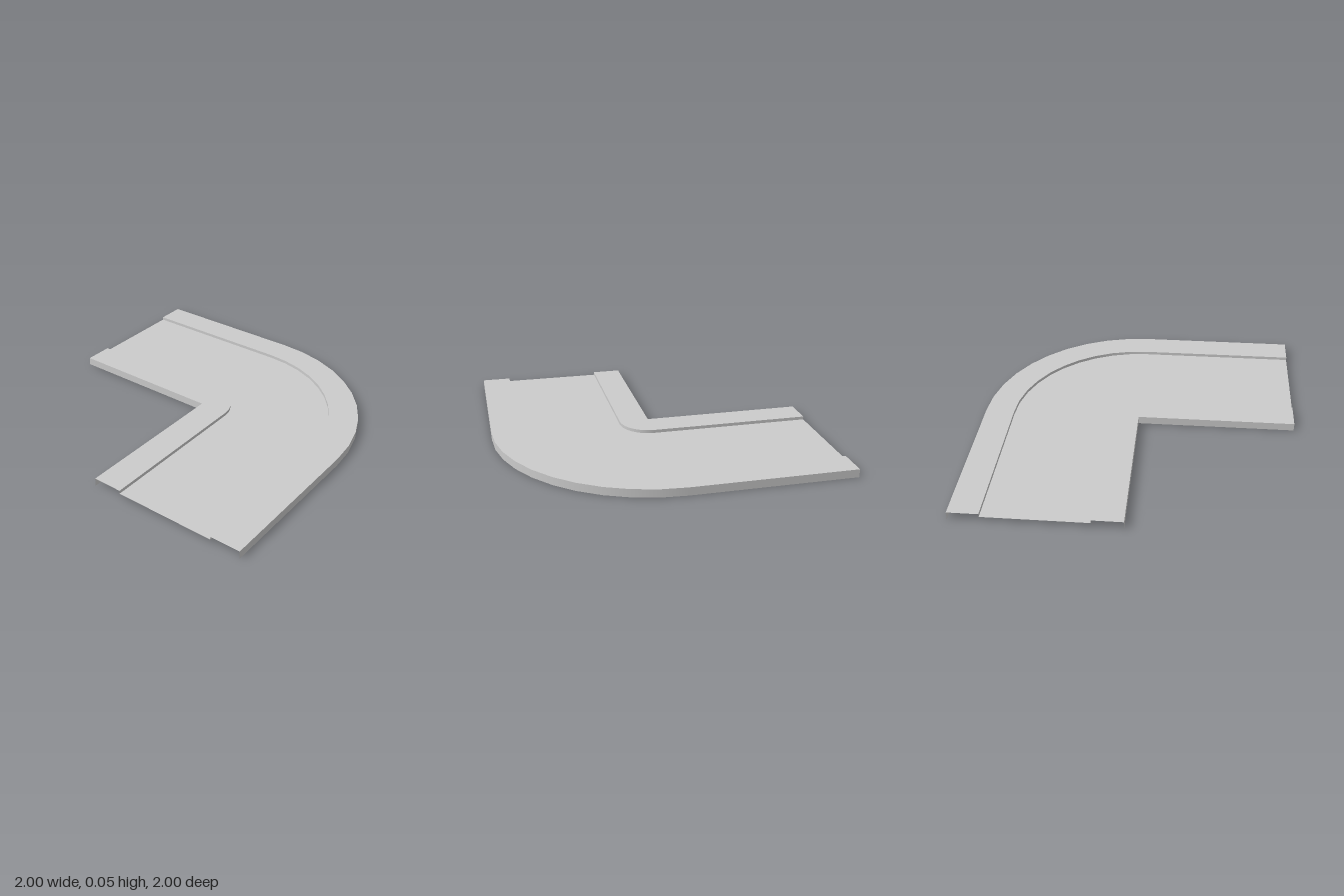
import * as THREE from 'three';

const ARC_STEPS = 10;
const TOP = 0.05, ROAD = 0.03;

// Cross-section of the road from the inner to the outer edge: [radius, height]
const PROFILE = [[0, 0], [0, TOP], [0.185, TOP], [0.185, ROAD], [0.815, ROAD], [0.815, TOP], [1, TOP], [1, 0]];
const NAMES = ['innerSkirt', 'innerSidewalk', 'innerCurb', 'roadSurface', 'outerCurb', 'outerSidewalk', 'outerSkirt'];

// Path stations: straight run, quarter bend about the origin, straight run
function makeStations() {
  const stations = [{ angle: 0, x: -1, z: 0 }];
  for (let i = 0; i <= ARC_STEPS; i++) stations.push({ angle: (i / ARC_STEPS) * Math.PI / 2, x: 0, z: 0 });
  stations.push({ angle: Math.PI / 2, x: 0, z: 1 });
  return stations;
}

// Sweeps one segment of the cross-section along the stations
function sweepStrip(p0, p1, stations) {
  const dr = p1[0] - p0[0], dy = p1[1] - p0[1], len = Math.hypot(dr, dy);
  const positions = [], normals = [], index = [];
  stations.forEach(({ angle, x, z }, i) => {
    const s = Math.sin(angle), c = -Math.cos(angle);
    for (const [r, y] of [p0, p1]) {
      positions.push(x + r * s, y, z + r * c);
      normals.push(-dy / len * s, dr / len, -dy / len * c);
    }
    if (i === stations.length - 1) return;
    const a = 2 * i, b = a + 1, e = a + 2, f = a + 3;
    // The bend has no length at the inner corner, so skip collapsed triangles there
    const bend = i > 0 && i < stations.length - 2;
    if (!(bend && p0[0] === 0)) index.push(a, e, b);
    if (!(bend && p1[0] === 0)) index.push(e, f, b);
  });
  const geometry = new THREE.BufferGeometry();
  geometry.setAttribute('position', new THREE.Float32BufferAttribute(positions, 3));
  geometry.setAttribute('normal', new THREE.Float32BufferAttribute(normals, 3));
  geometry.setIndex(index);
  return geometry;
}

export function createModel() {
  const group = new THREE.Group();
  group.name = 'roadBend';
  // Open shell without an underside
  const material = new THREE.MeshStandardMaterial({ color: 0xcccccc, side: THREE.DoubleSide });
  const stations = makeStations();
  NAMES.forEach((name, i) => {
    const mesh = new THREE.Mesh(sweepStrip(PROFILE[i], PROFILE[i + 1], stations), material);
    mesh.name = name;
    group.add(mesh);
  });
  return group;
}
